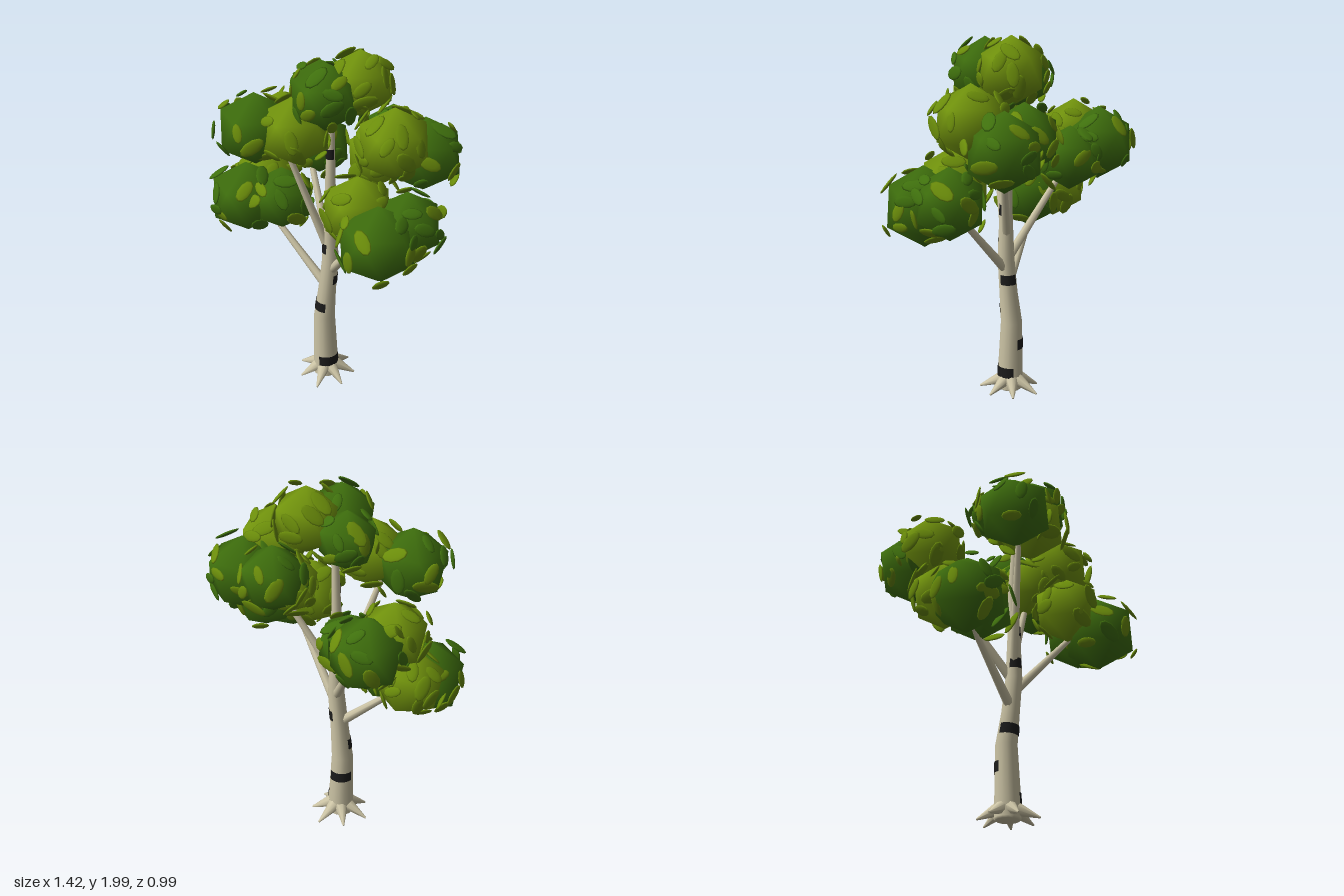
import * as THREE from 'three';

const mat = (name, color) => {
  const m = new THREE.MeshStandardMaterial({ color });
  m.name = name;
  return m;
};
const V = (x, y, z) => new THREE.Vector3(x, y, z);
const UP = V(0, 1, 0);

// small seeded generator for the leaf scatter
function seeded(s) {
  return () => {
    s = (s * 1664525 + 1013904223) % 4294967296;
    return s / 4294967296;
  };
}

// trunk stations: x, y, z, radius
const TRUNK = [
  [-0.04, 0.02, 0.01, 0.07], [-0.04, 0.12, 0.01, 0.068], [-0.05, 0.4, 0.01, 0.058],
  [-0.025, 0.58, 0.012, 0.049], [0, 0.78, 0.01, 0.045], [0, 1.0, 0.01, 0.036],
  [-0.005, 1.3, 0.005, 0.026], [0.01, 1.65, 0.01, 0.017],
];
function trunkAt(y) {
  let i = 0;
  while (i < TRUNK.length - 2 && y > TRUNK[i + 1][1]) i++;
  const a = TRUNK[i], b = TRUNK[i + 1], t = (y - a[1]) / (b[1] - a[1]);
  return a.map((v, k) => v + (b[k] - v) * t);
}

// curved skin around the trunk axis, between two angles and through given heights
function trunkSkin(heights, a0, a1, nA, extra = 0, slant = 0) {
  const pos = [], nor = [], idx = [];
  heights.forEach((h, i) => {
    for (let j = 0; j <= nA; j++) {
      const a = a0 + (a1 - a0) * j / nA, y = h + slant * (j / nA - 0.5);
      const [x, , z, r] = trunkAt(y);
      pos.push(x + Math.cos(a) * (r + extra), y, z + Math.sin(a) * (r + extra));
      nor.push(Math.cos(a), 0, Math.sin(a));
      if (i < heights.length - 1 && j < nA) {
        const p = i * (nA + 1) + j, q = p + nA + 1;
        idx.push(p, q, p + 1, p + 1, q, q + 1);
      }
    }
  });
  const g = new THREE.BufferGeometry();
  g.setAttribute('position', new THREE.Float32BufferAttribute(pos, 3));
  g.setAttribute('normal', new THREE.Float32BufferAttribute(nor, 3));
  g.setIndex(idx);
  return g;
}

// straight tapered limb from a to b
function limb(a, b, r0, r1, material, name) {
  const d = b.clone().sub(a);
  const m = new THREE.Mesh(new THREE.CylinderGeometry(r1, r0, d.length(), 8), material);
  m.position.copy(a).addScaledVector(d, 0.5);
  m.quaternion.setFromUnitVectors(UP, d.normalize());
  m.name = name;
  return m;
}

// twenty-sided ball standing on a corner, shaded smoothly
function facetedBall() {
  const g = new THREE.IcosahedronGeometry(1, 0);
  g.rotateZ(-Math.atan2(2, 1 + Math.sqrt(5)));
  g.setAttribute('normal', g.attributes.position.clone());
  return g;
}

export function createModel() {
  const bark = mat('pale bark', 0xcdc5a6);
  const mark = mat('black bark', 0x1c1c1c);
  const dark = mat('dark foliage', 0x3f700d);
  const light = mat('light foliage', 0x75980d);
  const leafLight = mat('light leaf', 0x6a8c0a);
  mark.side = THREE.DoubleSide;

  const tree = new THREE.Group();
  tree.name = 'tree';
  const add = (geo, material, name, parent = tree) => {
    const m = new THREE.Mesh(geo, material);
    m.name = name;
    parent.add(m);
    return m;
  };

  // trunk with a closed foot
  add(trunkSkin(TRUNK.map((s) => s[1]), 0, Math.PI * 2, 14), bark, 'trunk');
  const foot = add(new THREE.SphereGeometry(0.07, 14, 6), bark, 'trunkFoot');
  foot.scale.y = 0.3;
  foot.position.set(-0.04, 0.022, 0.01);

  // bark marks: height, facing angle (0 = +x, 90 = +z), half arc, slant
  [
    [0.12, 10, 62, 0], [0.48, 110, 68, 0.012], [0.28, 230, 60, 0], [0.66, -45, 55, 0],
    [0.86, 115, 45, 0], [1.05, 35, 50, 0], [1.2, 235, 50, 0], [1.42, 60, 60, 0],
  ].forEach(([y, deg, half, slant]) => {
    const a = THREE.MathUtils.degToRad(deg), h = THREE.MathUtils.degToRad(half);
    add(trunkSkin([y - 0.029, y + 0.029], a - h, a + h, 8, 0.003, slant), mark, 'barkMark');
  });

  // roots
  for (let i = 0; i < 7; i++) {
    const a = i / 7 * Math.PI * 2 + 0.15, r = 0.155 + 0.015 * (i % 2);
    const c = Math.cos(a), s = Math.sin(a);
    tree.add(limb(V(-0.038 + c * 0.045, 0.07, 0.005 + s * 0.045),
      V(-0.035 + c * r, 0.014, 0.005 + s * r), 0.037, 0.005, bark, 'root'));
  }

  // branches reaching into the foliage
  [
    [V(-0.03, 0.61, 0.02), V(-0.4, 0.97, 0.12), 0.027],
    [V(-0.01, 0.78, 0), V(-0.4, 1.33, -0.16), 0.025],
    [V(0.01, 0.72, 0.01), V(0.45, 1.2, 0.07), 0.026],
    [V(0.01, 0.92, 0), V(0.3, 1.48, -0.2), 0.024],
    [V(-0.01, 0.86, 0.02), V(-0.15, 1.54, 0.22), 0.026],
  ].forEach(([a, b, r]) => tree.add(limb(a, b, r, 0.013, bark, 'branch')));

  // foliage balls: x, y, z, radius, light?
  const balls = [
    [0.1, 1.81, -0.1, 0.18, 1], [0.06, 1.78, 0.1, 0.185, 0], [-0.1, 1.74, -0.01, 0.16, 0],
    [-0.25, 1.56, 0.3, 0.2, 0], [-0.05, 1.59, 0.2, 0.19, 1],
    [0.385, 1.59, -0.07, 0.195, 1], [0.39, 1.47, -0.28, 0.205, 0],
    [0.19, 1.5, -0.25, 0.185, 0], [0.2, 1.43, -0.14, 0.17, 1],
    [-0.5, 1.4, -0.07, 0.18, 1], [-0.49, 1.36, -0.24, 0.2, 0], [-0.31, 1.3, -0.18, 0.175, 0],
    [-0.475, 1.04, 0.2, 0.21, 0], [-0.31, 1.06, 0.09, 0.185, 0], [-0.5, 1.08, 0.06, 0.185, 1],
    [0.31, 1.25, 0.1, 0.19, 1], [0.505, 1.155, 0.14, 0.213, 0], [0.52, 1.2, -0.04, 0.19, 0],
  ];
  const ballGeo = facetedBall();
  const leafGeo = new THREE.SphereGeometry(1, 10, 6);
  const rnd = seeded(7);
  const COUNT = 20;

  balls.forEach(([x, y, z, r, isLight], n) => {
    const clump = new THREE.Group();
    clump.name = 'foliageClump';
    clump.position.set(x, y, z);
    tree.add(clump);
    add(ballGeo, isLight ? light : dark, 'foliageBall', clump).scale.setScalar(r);

    // flat leaves hovering around the ball, skipping those buried in a neighbour
    for (let i = 0; i < COUNT; i++) {
      const h = 0.85 - 1.55 * (i + 0.5) / COUNT, a = i * 2.4 + rnd() * 0.9 + n;
      const w = Math.sqrt(1 - h * h);
      const dir = V(Math.cos(a) * w, h, Math.sin(a) * w);
      const p = dir.clone().multiplyScalar(r * (0.87 + rnd() * 0.19));
      const spin = rnd() * Math.PI, tilt = (rnd() - 0.5) * 0.5, size = 0.85 + rnd() * 0.4;
      const world = p.clone().add(clump.position);
      if (world.y > 1.975) continue;
      if (balls.some((b, k) => k !== n && world.distanceTo(V(b[0], b[1], b[2])) < b[3] * 0.8)) continue;
      const leaf = add(leafGeo, isLight || i % 5 > 1 ? leafLight : dark, 'leaf', clump);
      leaf.position.copy(p);
      leaf.quaternion.setFromUnitVectors(UP, dir)
        .multiply(new THREE.Quaternion().setFromEuler(new THREE.Euler(tilt, spin, 0)));
      leaf.scale.set(0.058 * size, 0.009, 0.031 * size);
    }
  });
  return tree;
}
